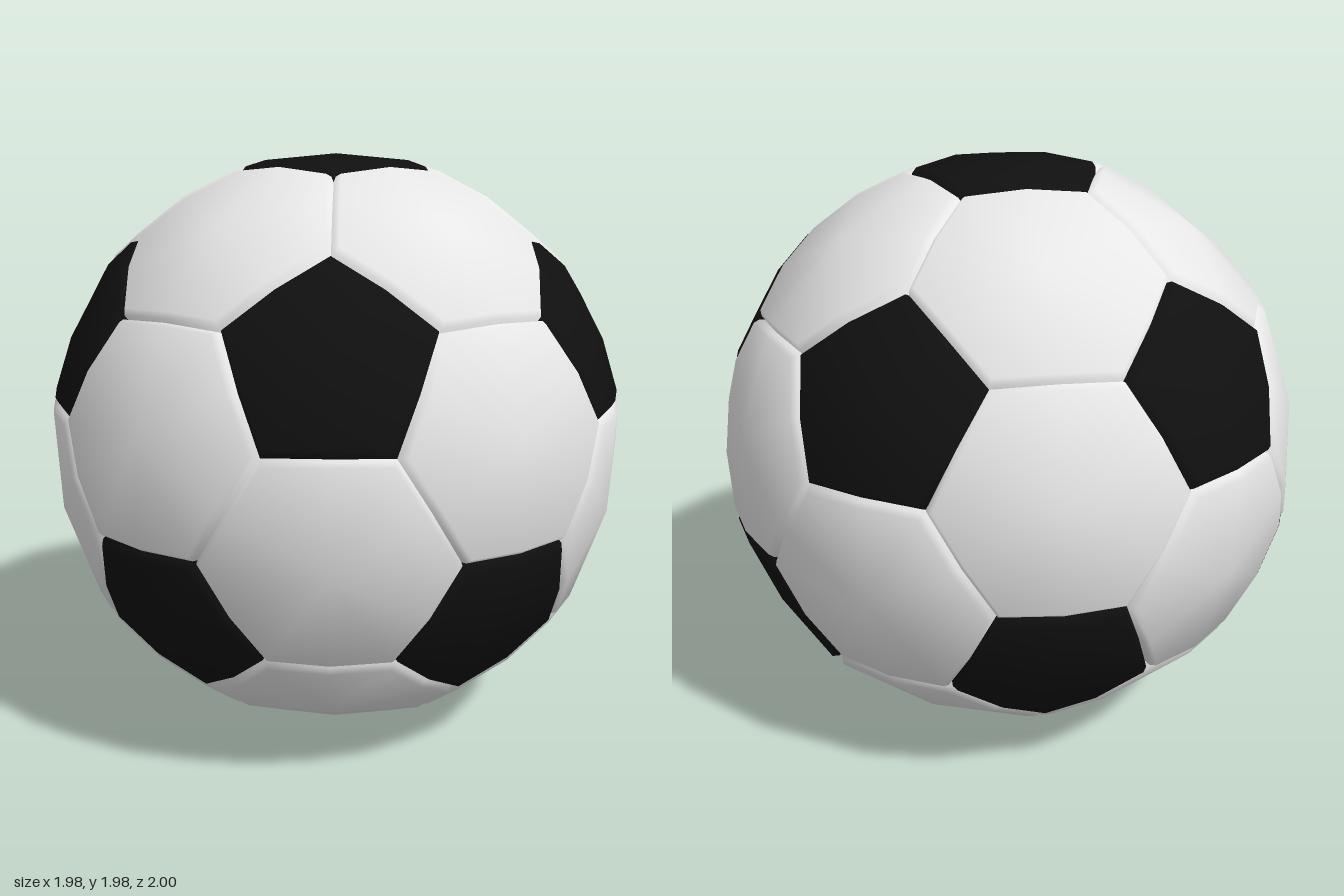
import * as THREE from 'three';

// Rim profile of every panel: [inset from the seam, radius]
const RIM = [[0, 0.965], [0.007, 0.986], [0.024, 1]];
const CENTRE_RADIUS = 0.99;

// Domed panel with a rounded rim; corners are unit vectors around the panel
function panelGeometry(corners) {
  const axis = new THREE.Vector3();
  corners.forEach((c) => axis.add(c));
  axis.normalize();

  // Sort the corners counter-clockwise as seen from outside
  const u = corners[0].clone().projectOnPlane(axis).normalize();
  const w = new THREE.Vector3().crossVectors(axis, u);
  const angle = (p) => Math.atan2(p.dot(w), p.dot(u));
  const sorted = [...corners].sort((a, b) => angle(a) - angle(b));

  // Outline with a middle point on each edge
  const outline = [];
  sorted.forEach((c, i) => {
    const next = sorted[(i + 1) % sorted.length];
    outline.push(c, c.clone().add(next).normalize());
  });
  const inradius = outline[1].angleTo(axis);

  const n = outline.length;
  const positions = [], normals = [], index = [];
  const tilt = [0.9, 0.7, 0.08];
  RIM.forEach(([inset, radius], k) => {
    for (const p of outline) {
      const q = p.clone().lerp(axis, inset / inradius).setLength(radius);
      const outward = p.clone().projectOnPlane(axis).normalize();
      const normal = p.clone().addScaledVector(outward, tilt[k]).normalize();
      positions.push(...q.toArray());
      normals.push(...normal.toArray());
    }
  });
  positions.push(...axis.clone().multiplyScalar(CENTRE_RADIUS).toArray());
  normals.push(...axis.toArray());

  const last = RIM.length - 1;
  for (let i = 0; i < n; i++) {
    const j = (i + 1) % n;
    for (let k = 0; k < last; k++) {
      const a = k * n + i, b = k * n + j;
      index.push(a, b, b + n, a, b + n, a + n);
    }
    index.push(last * n + i, last * n + j, RIM.length * n);
  }
  const geometry = new THREE.BufferGeometry();
  geometry.setAttribute('position', new THREE.Float32BufferAttribute(positions, 3));
  geometry.setAttribute('normal', new THREE.Float32BufferAttribute(normals, 3));
  geometry.setIndex(index);
  return geometry;
}

export function createModel() {
  const white = new THREE.MeshStandardMaterial({ color: 0xe7e7e7 });
  white.name = 'white';
  const black = new THREE.MeshStandardMaterial({ color: 0x101010 });
  black.name = 'black';

  // Twelve icosahedron points: two poles and two staggered rings of five
  const points = [new THREE.Vector3(0, 1, 0), new THREE.Vector3(0, -1, 0)];
  const h = 1 / Math.sqrt(5);
  for (let i = 0; i < 5; i++) {
    for (const side of [1, -1]) {
      const a = (i * 2 + (side < 0 ? 1 : 0)) * Math.PI / 5;
      points.push(new THREE.Vector3(2 * h * Math.cos(a), side * h, 2 * h * Math.sin(a)));
    }
  }
  const near = (a, b) => a !== b && a.dot(b) > 0.4;
  const third = (a, b) => a.clone().multiplyScalar(2).add(b).normalize();

  const ball = new THREE.Group();
  ball.name = 'ball';
  ball.position.y = 1;
  const addPanel = (name, corners, material) => {
    const mesh = new THREE.Mesh(panelGeometry(corners), material);
    mesh.name = name;
    ball.add(mesh);
  };

  // Black pentagons around the points
  for (const p of points) {
    addPanel('pentagonPanel', points.filter((q) => near(p, q)).map((q) => third(p, q)), black);
  }

  // White hexagons between every three neighbouring points
  points.forEach((a, i) => points.forEach((b, j) => points.forEach((c, k) => {
    if (i < j && j < k && near(a, b) && near(b, c) && near(a, c)) {
      const corners = [[a, b], [b, a], [b, c], [c, b], [c, a], [a, c]];
      addPanel('hexagonPanel', corners.map(([p, q]) => third(p, q)), white);
    }
  })));

  const model = new THREE.Group();
  model.name = 'football';
  model.add(ball);
  return model;
}
